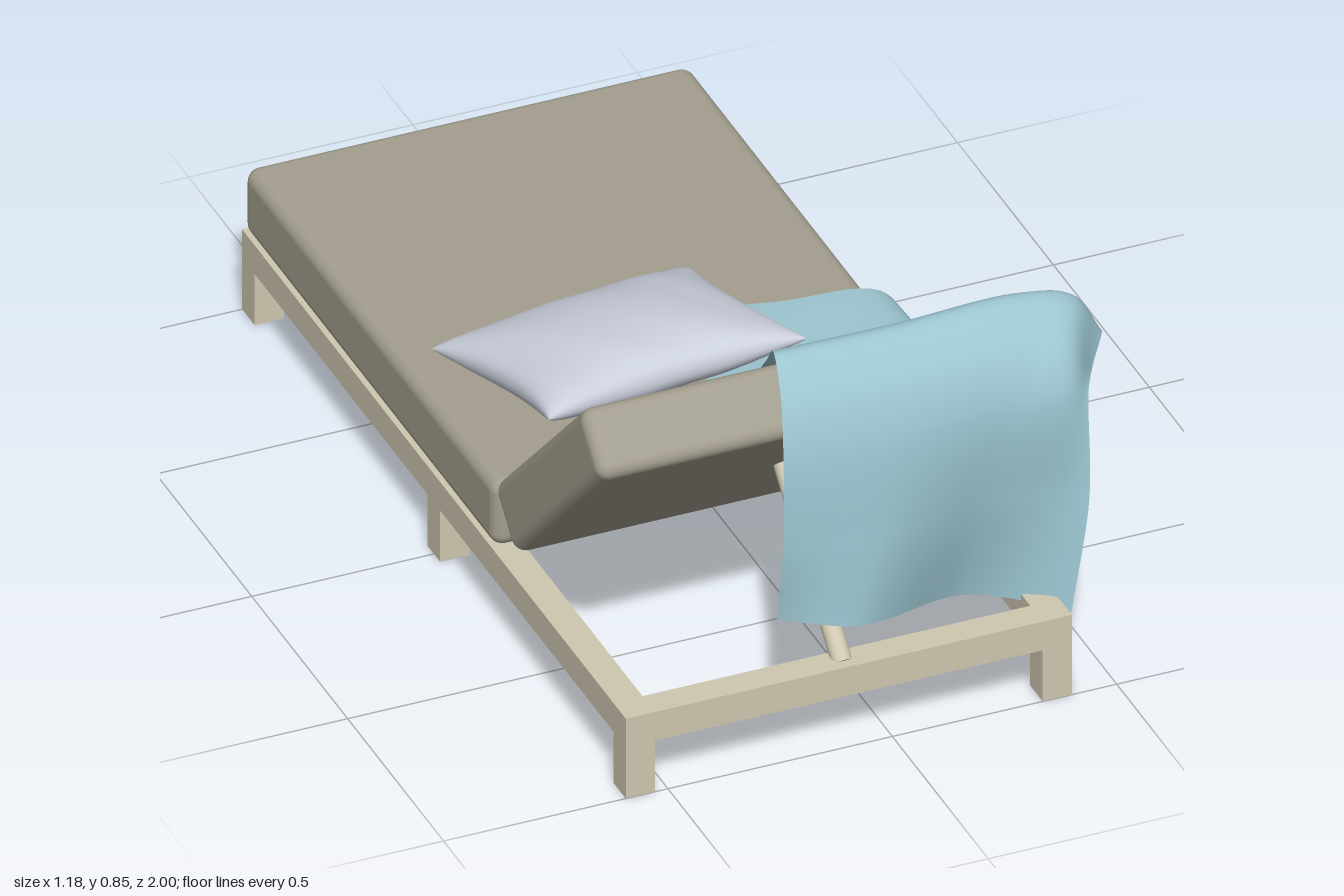
import * as THREE from 'three';
import { RoundedBoxGeometry } from 'three/addons/geometries/RoundedBoxGeometry.js';
import { ParametricGeometry } from 'three/addons/geometries/ParametricGeometry.js';

const paint = (name, color, side = THREE.FrontSide) => {
  const m = new THREE.MeshStandardMaterial({ color, side });
  m.name = name;
  return m;
};

export function createModel() {
  const wood = paint('paleWood', 0xcfc8b1);
  const fabric = paint('taupeFabric', 0xa39e8f);
  const cotton = paint('paleGreyCotton', 0xccd1de);
  const wool = paint('blueWool', 0x9cc5d0, THREE.DoubleSide);

  const model = new THREE.Group();
  model.name = 'sunLounger';
  const add = (name, geometry, material, x, y, z, parent = model) => {
    const mesh = new THREE.Mesh(geometry, material);
    mesh.name = name;
    mesh.position.set(x, y, z);
    parent.add(mesh);
    return mesh;
  };

  // Frame: four rails on six square legs
  const midX = -0.097, halfW = 0.497, bar = 0.065, legH = 0.125, railH = 0.07;
  const frame = new THREE.Group();
  frame.name = 'frame';
  model.add(frame);
  for (const s of [-1, 1]) {
    const x = midX + s * (halfW - bar / 2);
    add('sideRail', new THREE.BoxGeometry(bar, railH, 2), wood, x, legH + railH / 2, 0, frame);
    add('endRail', new THREE.BoxGeometry(2 * (halfW - bar), railH, bar), wood,
      midX, legH + railH / 2, s * (1 - bar / 2), frame);
    for (const z of [-1 + bar / 2, 0, 1 - bar / 2]) {
      add('leg', new THREE.BoxGeometry(bar, legH, bar), wood, x, legH / 2, z, frame);
    }
  }

  // Flat seat cushion and raised back cushion
  add('seatCushion', new RoundedBoxGeometry(0.994, 0.16, 1.31, 5, 0.03), fabric, midX, 0.275, -0.34);
  const back = add('backCushion', new RoundedBoxGeometry(0.994, 0.156, 0.66, 5, 0.03), fabric,
    midX, 0.528, 0.588);
  back.rotation.x = -Math.PI / 4;

  // Strut propping up the back
  const foot = new THREE.Vector3(midX, 0.185, 0.965), head = new THREE.Vector3(midX, 0.51, 0.64);
  const rod = head.clone().sub(foot);
  const strut = add('backStrut', new THREE.CylinderGeometry(0.022, 0.022, rod.length(), 20), wood,
    ...foot.clone().add(head).multiplyScalar(0.5));
  strut.quaternion.setFromUnitVectors(new THREE.Vector3(0, 1, 0), rod.normalize());

  // Pillow: two puffed faces sharing a pinched seam
  const pillow = new THREE.Group();
  pillow.name = 'pillow';
  pillow.position.set(-0.22, 0.472, 0.09);
  pillow.rotation.set(-0.2, 0.12, 0, 'YXZ');
  model.add(pillow);
  for (const side of [1, -1]) {
    const puff = (u, v, p) => {
      const a = Math.sin((u - 0.5) * Math.PI), b = Math.sin((v - 0.5) * Math.PI);
      const ka = 1 - a * a, kb = 1 - b * b;
      const crease = 1 + 0.04 * Math.sin(9 * a + 4 * b) * (1 - ka * kb);
      p.set(
        0.305 * a * (1 - 0.09 * kb),
        side * 0.08 * Math.pow(Math.max(ka * kb, 0), 0.42) * crease,
        -side * 0.245 * b * (1 - 0.1 * ka));
    };
    add(side > 0 ? 'pillowTop' : 'pillowUnderside', new ParametricGeometry(puff, 32, 28), cotton, 0, 0, 0, pillow);
  }

  // Throw: cross-sections from the hanging front hem, over the back, to the seat.
  // Each runs from the free edge to the cushion corner, then down the side.
  const sections = [
    [[-0.215, 0.28, 0.90], [-0.05, 0.25, 0.945], [0.22, 0.20, 0.85], [0.36, 0.175, 0.90], [0.42, 0.165, 0.95]],
    [[-0.21, 0.45, 0.92], [0.0, 0.45, 0.935], [0.25, 0.45, 0.90], [0.41, 0.44, 0.92], [0.465, 0.43, 0.94]],
    [[-0.20, 0.68, 0.90], [0.05, 0.68, 0.91], [0.30, 0.68, 0.91], [0.43, 0.68, 0.92], [0.48, 0.66, 0.90]],
    [[-0.185, 0.79, 0.85], [0.1, 0.79, 0.86], [0.36, 0.79, 0.86], [0.46, 0.77, 0.865], [0.515, 0.68, 0.84]],
    [[-0.17, 0.848, 0.78], [0.1, 0.845, 0.78], [0.38, 0.845, 0.77], [0.5, 0.815, 0.77], [0.565, 0.71, 0.77]],
    [[-0.15, 0.77, 0.69], [0.12, 0.77, 0.69], [0.39, 0.77, 0.69], [0.46, 0.72, 0.69], [0.545, 0.56, 0.66]],
    [[-0.10, 0.46, 0.38], [0.15, 0.46, 0.38], [0.41, 0.46, 0.38], [0.46, 0.41, 0.39], [0.56, 0.28, 0.37]],
    [[-0.06, 0.385, 0.22], [0.18, 0.385, 0.22], [0.41, 0.39, 0.23], [0.47, 0.33, 0.24], [0.58, 0.195, 0.24]],
    [[0.0, 0.372, -0.12], [0.2, 0.372, -0.07], [0.41, 0.375, -0.02], [0.46, 0.31, 0.03], [0.59, 0.125, 0.13]],
  ];
  const curve = (points) => new THREE.CatmullRomCurve3(points, false, 'centripetal');
  const lengthwise = [0, 1, 2, 3, 4].map((i) => curve(sections.map((s) => new THREE.Vector3(...s[i]))));
  const cloth = (u, v, p) => p.copy(curve(lengthwise.map((c) => c.getPoint(v))).getPoint(u));
  add('throwBlanket', new ParametricGeometry(cloth, 32, 64), wool, 0, 0, 0);

  return model;
}
